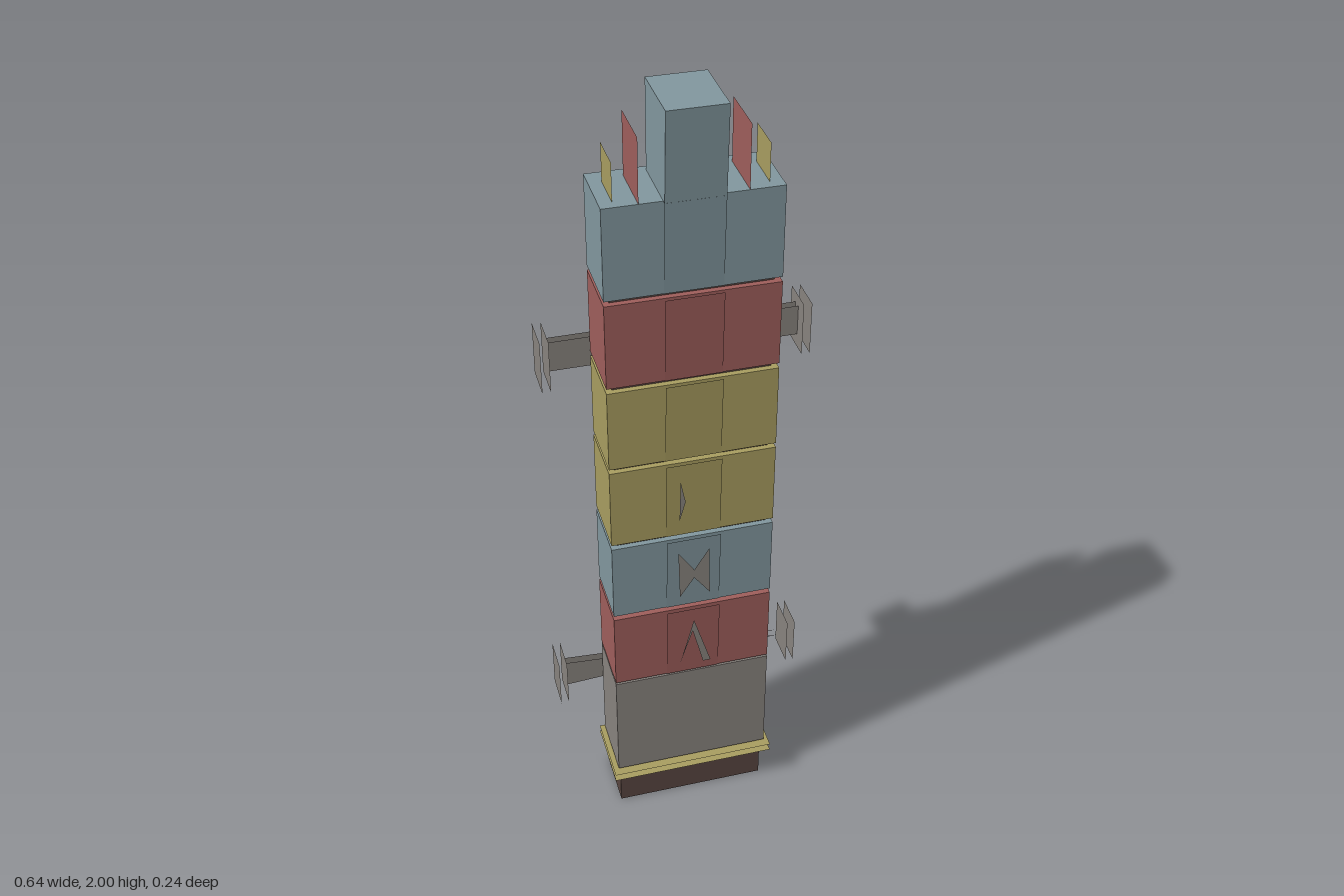
import * as THREE from 'three';

const flat = (color, name) => {
  const m = new THREE.MeshStandardMaterial({ color, side: THREE.DoubleSide });
  m.name = name;
  return m;
};

export function createModel() {
  const model = new THREE.Group();
  model.name = 'tower';
  const blue = flat(0x82979e, 'dusty blue');
  const red = flat(0x9e5e5b, 'dull red');
  const yellow = flat(0xa89d60, 'ochre');
  const grey = flat(0x88837e, 'stone grey');
  const brown = flat(0x584540, 'dark brown');

  const add = (name, geo, mat) => {
    const m = new THREE.Mesh(geo, mat);
    m.name = name;
    model.add(m);
    return m;
  };
  // box given by its limits
  const box = (name, mat, x0, x1, y0, y1, z0, z1) =>
    add(name, new THREE.BoxGeometry(x1 - x0, y1 - y0, z1 - z0)
      .translate((x0 + x1) / 2, (y0 + y1) / 2, (z0 + z1) / 2), mat);
  // flat polygon facing the front
  const plate = (name, mat, pts, z) =>
    add(name, new THREE.ShapeGeometry(new THREE.Shape(pts.map(p => new THREE.Vector2(...p))))
      .translate(0, 0, z), mat);
  const rect = (x0, x1, y0, y1) => [[x0, y0], [x1, y0], [x1, y1], [x0, y1]];
  // flat rectangle facing sideways
  const sidePlate = (name, mat, x, y0, y1, z0, z1) =>
    add(name, new THREE.PlaneGeometry(z1 - z0, y1 - y0)
      .rotateY(x > 0 ? Math.PI / 2 : -Math.PI / 2)
      .translate(x, (y0 + y1) / 2, (z0 + z1) / 2), mat);

  // base, ledge sheets and inner core
  box('base', brown, -0.195, 0.19, 0, 0.093, -0.06, 0.09);
  for (const y of [0.1, 0.12]) {
    add('ledge', new THREE.PlaneGeometry(0.426, 0.187).rotateX(-Math.PI / 2)
      .translate(0, y, 0.019), yellow);
  }
  box('core', brown, -0.185, 0.185, 0.2, 1.7, -0.05, 0.08);

  // stacked blocks
  box('footBlock', grey, -0.2, 0.2, 0.125, 0.434, -0.066, 0.094);
  const blocks = [
    [red, 0.44, 0.654], [blue, 0.667, 0.88], [yellow, 0.893, 1.107],
    [yellow, 1.119, 1.33], [red, 1.343, 1.556], [blue, 1.568, 1.79],
  ];
  blocks.forEach(([mat, y0, y1], i) => {
    box('block', mat, -0.2, 0.2, y0, y1, -0.066, 0.094);
    // leaning centre panel
    const panel = add('centrePanel', new THREE.PlaneGeometry(0.134, y1 - y0), mat);
    panel.position.set(0, (y0 + y1) / 2, 0.1);
    panel.rotation.x = i === 5 ? 0.045 : 0.04;
  });

  // crown: central pillar whose front leans outwards
  const crown = new THREE.Shape([[-0.105, 1.79], [0.05, 1.79], [0.05, 2], [-0.116, 2]]
    .map(p => new THREE.Vector2(...p)));
  add('crown', new THREE.ExtrudeGeometry(crown, { depth: 0.134, bevelEnabled: false })
    .translate(0, 0, -0.067).rotateY(Math.PI / 2), blue);
  for (const s of [-1, 1]) {
    sidePlate('innerCrest', red, s * 0.12, 1.79, 1.94, -0.038, 0.095);
    sidePlate('outerCrest', yellow, s * 0.17, 1.79, 1.88, -0.024, 0.072);
  }

  // carved marks on the centre panels
  plate('peakMark', grey, [[0, 0.62], [-0.036, 0.48], [-0.003, 0.585], [0.024, 0.475], [0.044, 0.475]], 0.108);
  plate('bowMark', grey, [[-0.04, 0.845], [-0.036, 0.705], [0, 0.76], [0.04, 0.705], [0.037, 0.845], [0, 0.785]], 0.108);
  plate('crescentMark', grey, [[-0.034, 1.06], [-0.037, 0.945], [-0.022, 1.0]], 0.108);

  // rear plank
  for (const z of [-0.105, -0.12]) plate('plank', grey, rect(-0.08, 0.08, 0.03, 1.735), z);

  // crossbars and their end plates
  for (const z of [-0.075, -0.095]) {
    plate('upperCrossbar', grey, rect(-0.3, 0.3, 1.298, 1.376), z);
    plate('lowerCrossbar', grey, [[-0.3, 0.298], [0.285, 0.335], [-0.3, 0.376]], z);
  }
  for (const y of [0.27, 1.265]) {
    for (const x of [-0.32, -0.3, 0.3, 0.32]) {
      sidePlate('endPlate', grey, x, y, y + 0.136, -0.127, -0.037);
    }
  }
  return model;
}
